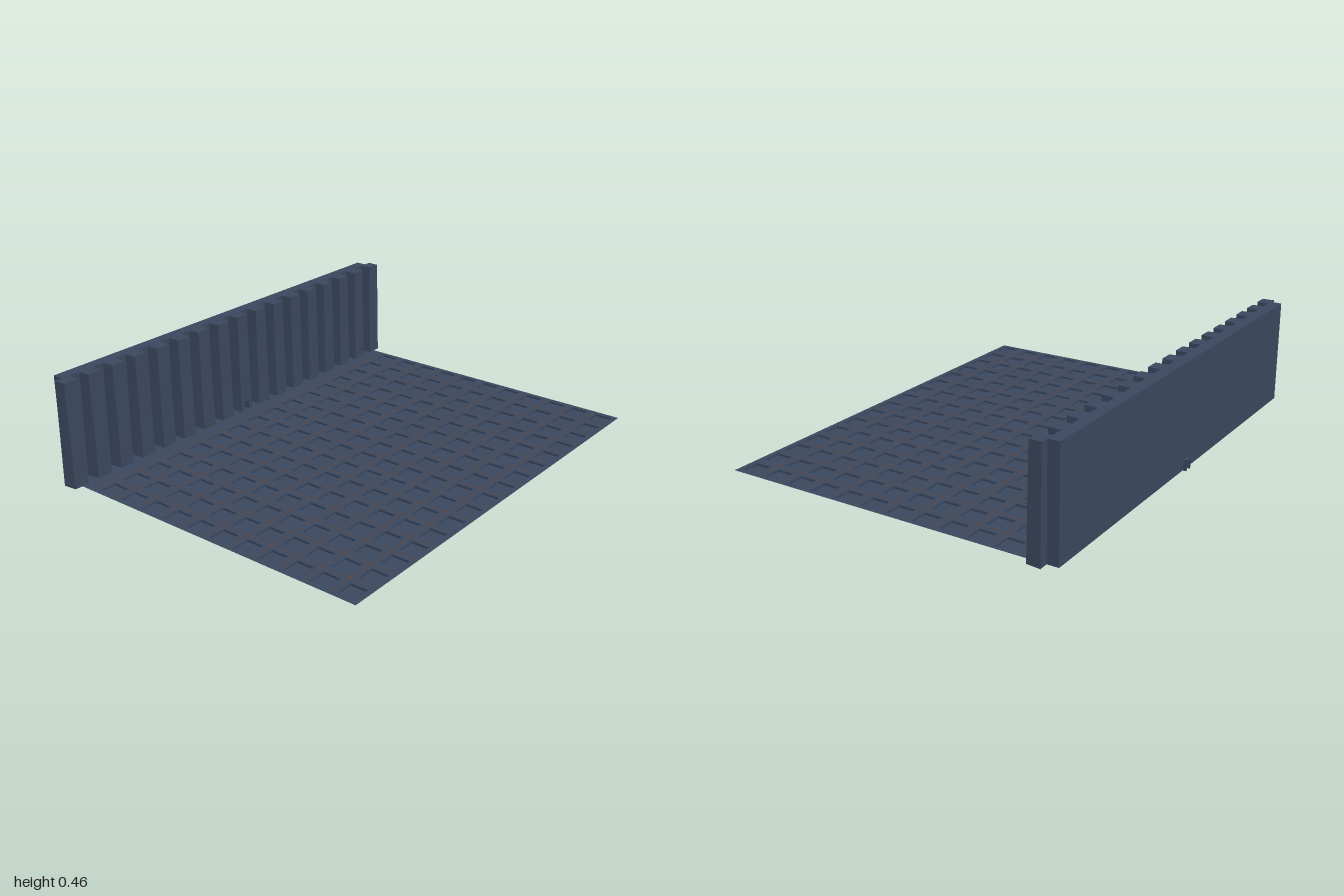
import * as THREE from 'three';
import { mergeGeometries } from 'three/addons/utils/BufferGeometryUtils.js';

const CELL = 0.12, COLS = 16, ROWS = 11;
const FLOOR_Y = 0.01, WALL_TOP = 0.46;
const HALF_X = 0.96, FRONT_Z = 0.75, BACK_Z = -0.738, RIB_BACK = -0.69;
const SLOT_HALF = 0.015, SLOT_TOP = 0.054;

const slate = new THREE.MeshStandardMaterial({ color: 0x3b485f, side: THREE.DoubleSide });
slate.name = 'slate blue';
const rust = new THREE.MeshStandardMaterial({ color: 0x7a3b14 });
rust.name = 'rust brown';

function add(parent, name, geometry, material) {
  const mesh = new THREE.Mesh(geometry, material);
  mesh.name = name;
  parent.add(mesh);
}

function outline(points, Type = THREE.Shape) {
  return new Type(points.map(([x, y]) => new THREE.Vector2(x, y)));
}

function rect(x0, y0, x1, y1, Type) {
  return outline([[x0, y0], [x1, y0], [x1, y1], [x0, y1]], Type);
}

// Flat strip lying just above the floor, facing up
function strip(w, d, x, z) {
  return new THREE.PlaneGeometry(w, d).rotateX(-Math.PI / 2).translate(x, FLOOR_Y + 0.0004, z);
}

// Rib block tapering upward and forward; side 0 is whole, -1 or 1 is one leg beside the slot
function rib(cx, y0, y1, side = 0) {
  const g = new THREE.BoxGeometry(2, 1, 1).toNonIndexed();
  const p = g.attributes.position;
  for (let i = 0; i < p.count; i++) {
    const y = p.getY(i) < 0 ? y0 : y1;
    const t = (y - FLOOR_Y) / (WALL_TOP - FLOOR_Y);
    const front = p.getZ(i) > 0;
    const half = front ? 0.034 - 0.003 * t : 0.04 - 0.006 * t;
    const s = Math.sign(p.getX(i));
    const x = side !== 0 && s !== side ? side * SLOT_HALF : s * half;
    p.setXYZ(i, cx + x, y, front ? -0.631 - 0.007 * t : RIB_BACK);
  }
  g.computeVertexNormals();
  return g;
}

function createFloor() {
  const floor = new THREE.Group();
  floor.name = 'floor';
  const sheet = rect(-HALF_X, -FRONT_Z, HALF_X, -BACK_Z);
  const pans = [];
  const size = 0.076, h = size / 2;
  for (let r = 0; r < ROWS; r++) {
    for (let c = 0; c < COLS; c++) {
      const x = -HALF_X + (c + 0.5) * CELL;
      const z = FRONT_Z - (r + 0.5) * CELL;
      sheet.holes.push(rect(x - h, -z - h, x + h, -z + h, THREE.Path));
      // Shallow pan: a box without its lid
      const pan = new THREE.BoxGeometry(size, FLOOR_Y, size).translate(x, FLOOR_Y / 2, z);
      const index = Array.from(pan.index.array);
      index.splice(12, 6);
      pan.setIndex(index);
      pans.push(pan);
    }
  }
  add(floor, 'floorSheet',
    new THREE.ShapeGeometry(sheet).rotateX(-Math.PI / 2).translate(0, FLOOR_Y, 0), slate);
  add(floor, 'tilePans', mergeGeometries(pans), slate);

  // Fine joints between the tiles
  const joints = [];
  const w = 0.002, depth = ROWS * CELL;
  for (let c = 1; c < COLS; c++) {
    joints.push(strip(w, depth, -HALF_X + c * CELL, FRONT_Z - depth / 2));
  }
  for (let r = 1; r <= ROWS; r++) {
    joints.push(strip(2 * HALF_X, w, 0, FRONT_Z - r * CELL));
  }
  add(floor, 'tileJoints', mergeGeometries(joints), rust);
  return floor;
}

function createWall() {
  const wall = new THREE.Group();
  wall.name = 'wall';
  // Back panel with a drain slot at the foot
  const panel = outline([
    [-HALF_X, FLOOR_Y], [-SLOT_HALF, FLOOR_Y], [-SLOT_HALF, SLOT_TOP], [SLOT_HALF, SLOT_TOP],
    [SLOT_HALF, FLOOR_Y], [HALF_X, FLOOR_Y], [HALF_X, WALL_TOP], [-HALF_X, WALL_TOP],
  ]);
  add(wall, 'backPanel', new THREE.ExtrudeGeometry(panel,
    { depth: RIB_BACK - BACK_Z, bevelEnabled: false }).translate(0, 0, BACK_Z), slate);

  // Row of ribs; the middle one straddles the slot
  const ribs = [];
  for (let k = -8; k <= 8; k++) {
    if (k !== 0) ribs.push(rib(k * CELL, FLOOR_Y, WALL_TOP));
  }
  ribs.push(rib(0, SLOT_TOP, WALL_TOP));
  for (const side of [-1, 1]) ribs.push(rib(0, FLOOR_Y, SLOT_TOP, side));
  add(wall, 'ribs', mergeGeometries(ribs), slate);

  // Short open-bottomed spout behind the slot
  const outer = SLOT_HALF + 0.002;
  const spout = outline([
    [-outer, FLOOR_Y], [-SLOT_HALF, FLOOR_Y], [-SLOT_HALF, SLOT_TOP], [SLOT_HALF, SLOT_TOP],
    [SLOT_HALF, FLOOR_Y], [outer, FLOOR_Y], [outer, SLOT_TOP + 0.002], [-outer, SLOT_TOP + 0.002],
  ]);
  add(wall, 'drainSpout', new THREE.ExtrudeGeometry(spout,
    { depth: 0.017, bevelEnabled: false }).translate(0, 0, BACK_Z - 0.017), slate);
  return wall;
}

export function createModel() {
  const model = new THREE.Group();
  model.name = 'ribbedWallWithTiledFloor';
  model.add(createFloor(), createWall());
  return model;
}
